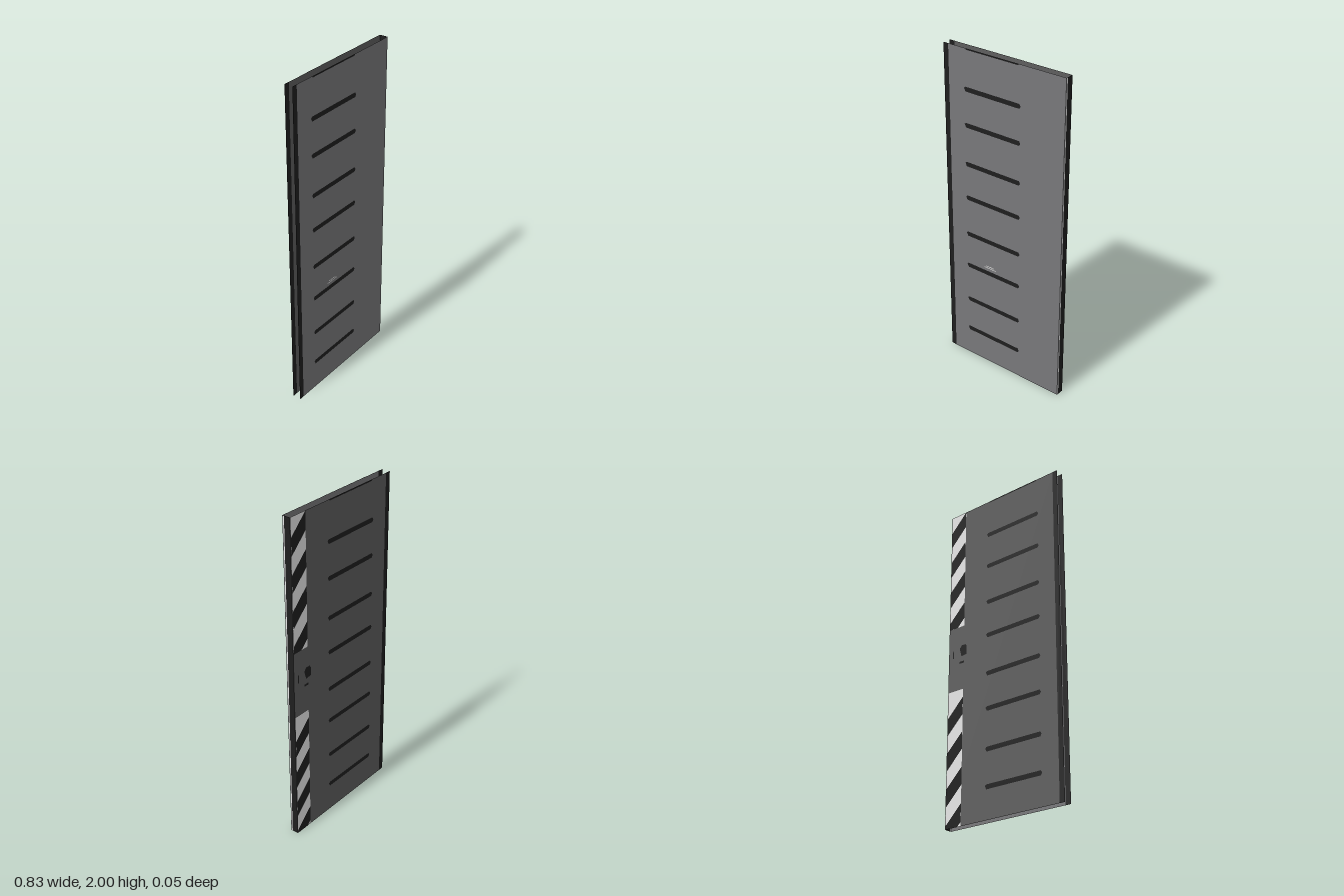
import * as THREE from 'three';

const W = 0.83, H = 2, Z = 0.025, SEAL = 0.034;
const OUT = Z + 0.001; // height of painted details

export function createModel() {
  const door = new THREE.Group();
  door.name = 'slidingDoor';

  const material = (name, color) => {
    const m = new THREE.MeshStandardMaterial({ color, side: THREE.DoubleSide });
    m.name = name;
    return m;
  };
  const frontGrey = material('frontGrey', 0x78787a);
  const backGrey = material('backGrey', 0x5e5e5e);
  const black = material('black', 0x1f1f1f);
  const white = material('white', 0xffffff);

  const add = (name, geometry, mat) => {
    const mesh = new THREE.Mesh(geometry, mat);
    mesh.name = name;
    door.add(mesh);
    return mesh;
  };

  // Flat sheet between two corners, facing the front (side 1) or back (side -1)
  const sheet = (name, x0, x1, y0, y1, z, side, mat) => {
    const mesh = add(name, new THREE.PlaneGeometry(x1 - x0, y1 - y0), mat);
    mesh.position.set((x0 + x1) / 2, (y0 + y1) / 2, z * side);
    if (side < 0) mesh.rotation.y = Math.PI;
  };

  // Flat painted polygon on the back
  const backShape = (name, points, z, mat) => {
    const shape = new THREE.Shape(points.map(([x, y]) => new THREE.Vector2(-x, y)));
    const mesh = add(name, new THREE.ShapeGeometry(shape), mat);
    mesh.rotation.y = Math.PI;
    mesh.position.z = -z;
  };

  // Hollow door: two skins with dark seal strips, open at top, bottom and left edge
  const slotHeights = [0.185, 0.4, 0.64, 0.855, 1.095, 1.31, 1.55, 1.765];
  for (const side of [1, -1]) {
    const label = side > 0 ? 'front' : 'back';
    sheet(label + 'Panel', -W / 2 + SEAL, W / 2, 0, H, Z, side, side > 0 ? frontGrey : backGrey);
    sheet(label + 'SealStrip', -W / 2, -W / 2 + SEAL, 0, H, Z, side, black);

    // Horizontal slots with pointed ends
    for (const y of slotHeights) {
      const h = 0.014;
      const shape = new THREE.Shape([
        [-0.272, 0.006], [-0.262, -h], [0.115, -h], [0.124, 0], [0.115, h], [-0.262, h],
      ].map(([x, dy]) => new THREE.Vector2(x, y + dy)));
      const slot = add(label + 'Slot', new THREE.ShapeGeometry(shape), black);
      slot.position.z = OUT * side;
      // Mirror the back slots so that they face backwards
      if (side < 0) {
        slot.rotation.y = Math.PI;
        slot.position.x = -0.148;
      }
    }
    sheet(label + 'TopSlot', -0.255, 0.108, H - 0.008, H, OUT, side, black);
  }

  // Closed edge: dark rubber with a pale line and a grey front lip
  for (const [name, z0, z1, mat] of [
    ['edgeRubber', -Z, 0.014, black],
    ['edgeLine', 0.014, 0.02, white],
    ['edgeLip', 0.02, Z, frontGrey],
  ]) {
    const strip = add(name, new THREE.PlaneGeometry(z1 - z0, H), mat);
    strip.rotation.y = Math.PI / 2;
    strip.position.set(W / 2, H / 2, (z0 + z1) / 2);
  }

  // Cut a polygon by the horizontal line at y, keeping the part above (1) or below (-1)
  const cut = (points, y, keep) => points.flatMap((p, i) => {
    const q = points[(i + 1) % points.length];
    const a = (p[1] - y) * keep, b = (q[1] - y) * keep;
    const result = a >= 0 ? [p] : [];
    if (a * b < 0) {
      const t = a / (a - b);
      result.push([p[0] + (q[0] - p[0]) * t, y]);
    }
    return result;
  });

  // Diagonal hazard stripes in two blocks on the back
  const outer = 0.411, inner = 0.298, band = 0.105, rise = 0.11;
  for (const [low, high, start] of [[0, 0.81, 0.65], [1.215, H, 1.89]]) {
    sheet('hazardBase', inner, outer, low, high, OUT - 0.0005, -1, white);
    for (let top = start; top > low - rise; top -= 2 * band) {
      const stripe = [
        [outer, top], [outer, top - band], [inner, top - band + rise], [inner, top + rise],
      ];
      const visible = cut(cut(stripe, low, 1), high, -1);
      if (visible.length > 2) backShape('hazardStripe', visible, OUT, black);
    }
  }

  // Small latch plates between the hazard blocks
  backShape('latchPlate', [
    [0.33, 1.07], [0.315, 1.09], [0.285, 1.09], [0.275, 1.075], [0.275, 1.025], [0.315, 1.02],
  ], OUT, black);
  sheet('latchTab', 0.295, 0.33, 0.975, 0.988, OUT, -1, black);
  sheet('latchSlit', 0.376, 0.382, 1.02, 1.07, OUT, -1, black);

  // Thin pale marks on the front
  sheet('frontMark', -0.125, -0.065, 0.684, 0.688, OUT, 1, white);
  sheet('frontMark', -0.14, -0.05, 0.673, 0.677, OUT, 1, white);

  return door;
}
